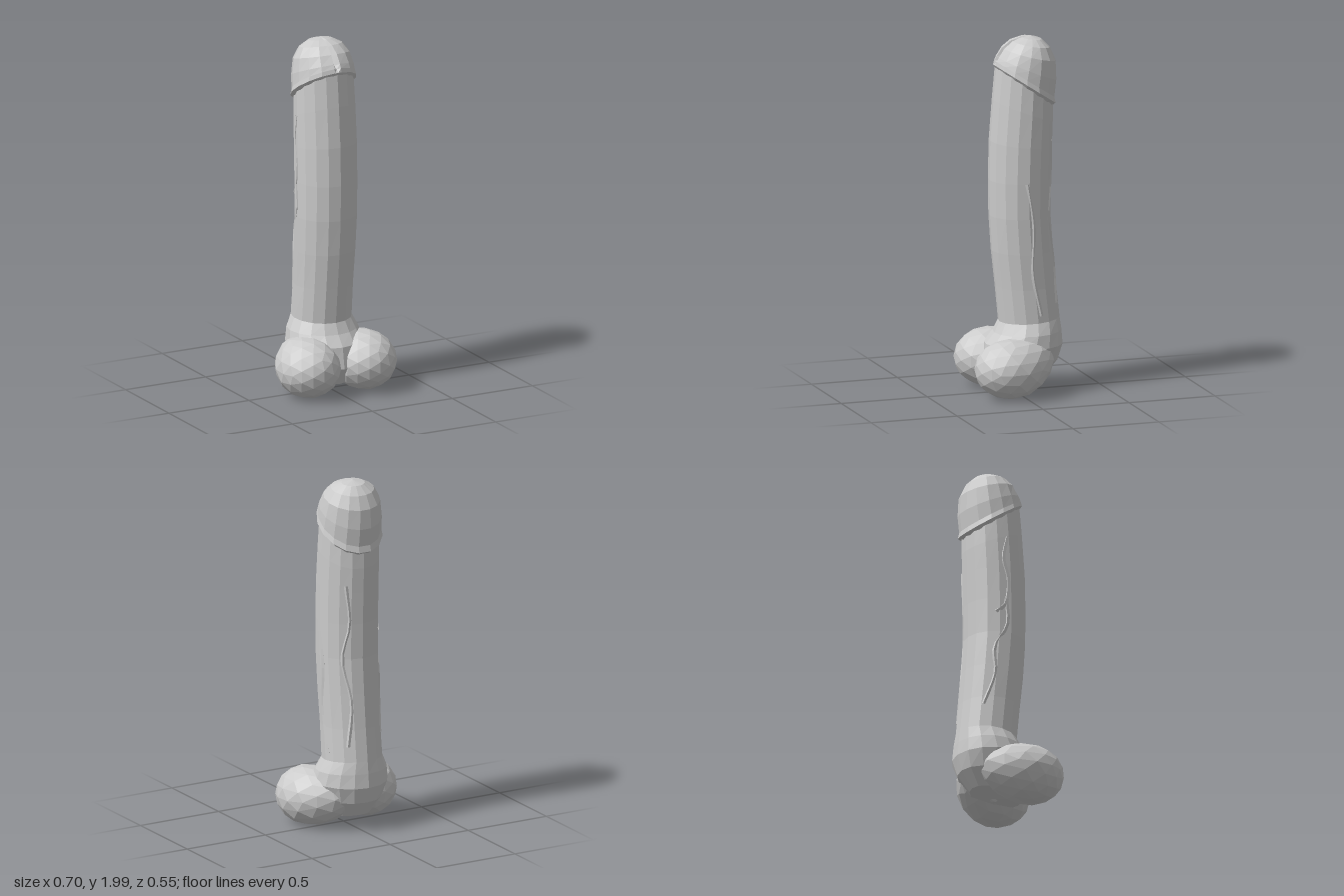
import * as THREE from 'three';

const material = new THREE.MeshStandardMaterial({ color: 0xcccccc, flatShading: true, side: THREE.DoubleSide });

// Each ring: front z, front y, back z, back y, half width
const shaftRings = [
  [-0.02, 0.05, -0.06, 0.05, 0.02],
  [0.12, 0.06, -0.18, 0.09, 0.12],
  [0.18, 0.16, -0.25, 0.18, 0.18],
  [0.16, 0.28, -0.275, 0.27, 0.215],
  [0.11, 0.34, -0.268, 0.35, 0.2],
  [0.08, 0.4, -0.26, 0.42, 0.168],
  [0.1, 0.6, -0.24, 0.6, 0.166],
  [0.122, 0.8, -0.222, 0.8, 0.17],
  [0.135, 1.0, -0.207, 1.0, 0.173],
  [0.138, 1.2, -0.209, 1.2, 0.174],
  [0.133, 1.42, -0.215, 1.38, 0.174],
  [0.115, 1.65, -0.22, 1.52, 0.172],
  [0.098, 1.83, -0.22, 1.62, 0.168],
];
const headRings = [
  [0.092, 1.82, -0.215, 1.6, 0.164],
  [0.108, 1.845, -0.237, 1.615, 0.186],
  [0.103, 1.868, -0.23, 1.65, 0.179],
  [0.092, 1.89, -0.242, 1.75, 0.175],
  [0.06, 1.937, -0.238, 1.86, 0.16],
  [0.01, 1.976, -0.205, 1.935, 0.124],
  [-0.045, 1.994, -0.16, 1.98, 0.068],
  [-0.1, 2.0, -0.1, 2.0, 0],
];

function ringPoint([zf, yf, zb, yb, w], a) {
  const c = Math.cos(a);
  return new THREE.Vector3(w * Math.sin(a), (yf + yb) / 2 + (c * (yf - yb)) / 2, (zf + zb) / 2 + (c * (zf - zb)) / 2);
}

// Skin over rings, sampled at the given angles; adjust() may move a point
function loft(rings, angles, adjust = () => {}) {
  const positions = [], index = [], n = angles.length;
  rings.forEach((ring, i) => angles.forEach((a, j) => {
    const p = ringPoint(ring, a);
    adjust(p, i, j);
    positions.push(p.x, p.y, p.z);
    if (i === 0) return;
    const k = (j + 1) % n, lo = (i - 1) * n, hi = i * n;
    index.push(lo + j, lo + k, hi + k, lo + j, hi + k, hi + j);
  }));
  const geometry = new THREE.BufferGeometry();
  geometry.setAttribute('position', new THREE.Float32BufferAttribute(positions, 3));
  geometry.setIndex(index);
  geometry.computeVertexNormals();
  return geometry;
}

// Rounded lobe whose rear half tapers in toward the base
function lobeGeometry(side) {
  const geometry = new THREE.IcosahedronGeometry(1, 2);
  const pos = geometry.attributes.position;
  for (let i = 0; i < pos.count; i++) {
    const x = pos.getX(i), y = pos.getY(i), z = pos.getZ(i);
    const t = Math.max(0, -z) ** 2;
    pos.setXYZ(i,
      side * 0.175 + x * 0.178 - side * 0.09 * t,
      0.168 + y * 0.165 + 0.035 * t,
      0.08 + z * (z < 0 ? 0.28 : 0.198));
  }
  geometry.computeVertexNormals();
  return geometry;
}

// Point on the shaft at a given mid height and angle
function onShaft(y, a) {
  const mid = (r) => (r[1] + r[3]) / 2;
  const i = Math.max(1, shaftRings.findIndex((r) => mid(r) > y));
  const lo = shaftRings[i - 1], hi = shaftRings[i];
  const t = (y - mid(lo)) / (mid(hi) - mid(lo));
  const p = ringPoint(lo.map((v, k) => v + (hi[k] - v) * t), a);
  // Sink slightly so only a low ridge shows
  p.x -= Math.sin(a) * 0.009;
  p.z -= Math.cos(a) * 0.009;
  return p;
}

export function createModel() {
  const group = new THREE.Group();
  const add = (name, geometry) => {
    const mesh = new THREE.Mesh(geometry, material);
    mesh.name = name;
    group.add(mesh);
  };

  const sides = 16;
  add('shaft', loft(shaftRings, Array.from({ length: sides }, (_, i) => (i / sides) * Math.PI * 2)));

  // Head with a narrow front groove: the first angle is pushed inward
  const headAngles = [0, 0.11];
  for (let i = 1; i < 15; i++) headAngles.push(0.11 + (i / 15) * (Math.PI * 2 - 0.22));
  headAngles.push(Math.PI * 2 - 0.11);
  const depth = [0, 0, 0.012, 0.03, 0.035, 0.03, 0.012, 0];
  add('head', loft(headRings, headAngles, (p, i, j) => {
    if (j !== 0) return;
    p.z -= depth[i];
    p.y -= depth[i] * 0.6;
  }));

  for (const side of [1, -1]) add(side > 0 ? 'leftLobe' : 'rightLobe', lobeGeometry(side));

  // Low winding ridges: [height, angle] pairs
  const ridges = [
    [[0.55, -2.3], [0.75, -2.0], [0.9, -2.1], [1.05, -1.7], [1.2, -1.75]],
    [[1.12, -2.1], [1.16, -1.8], [1.32, -1.65], [1.45, -1.8], [1.58, -1.6]],
    [[0.5, 2.5], [0.75, 2.7], [1.0, 2.45], [1.2, 2.7], [1.45, 2.55]],
    [[0.45, 1.7], [0.7, 1.55], [0.95, 1.7], [1.2, 1.5]],
  ];
  ridges.forEach((path, i) => {
    const curve = new THREE.CatmullRomCurve3(path.map(([y, a]) => onShaft(y, a)));
    add('ridge' + (i + 1), new THREE.TubeGeometry(curve, 14, 0.014, 5));
  });

  return group;
}
